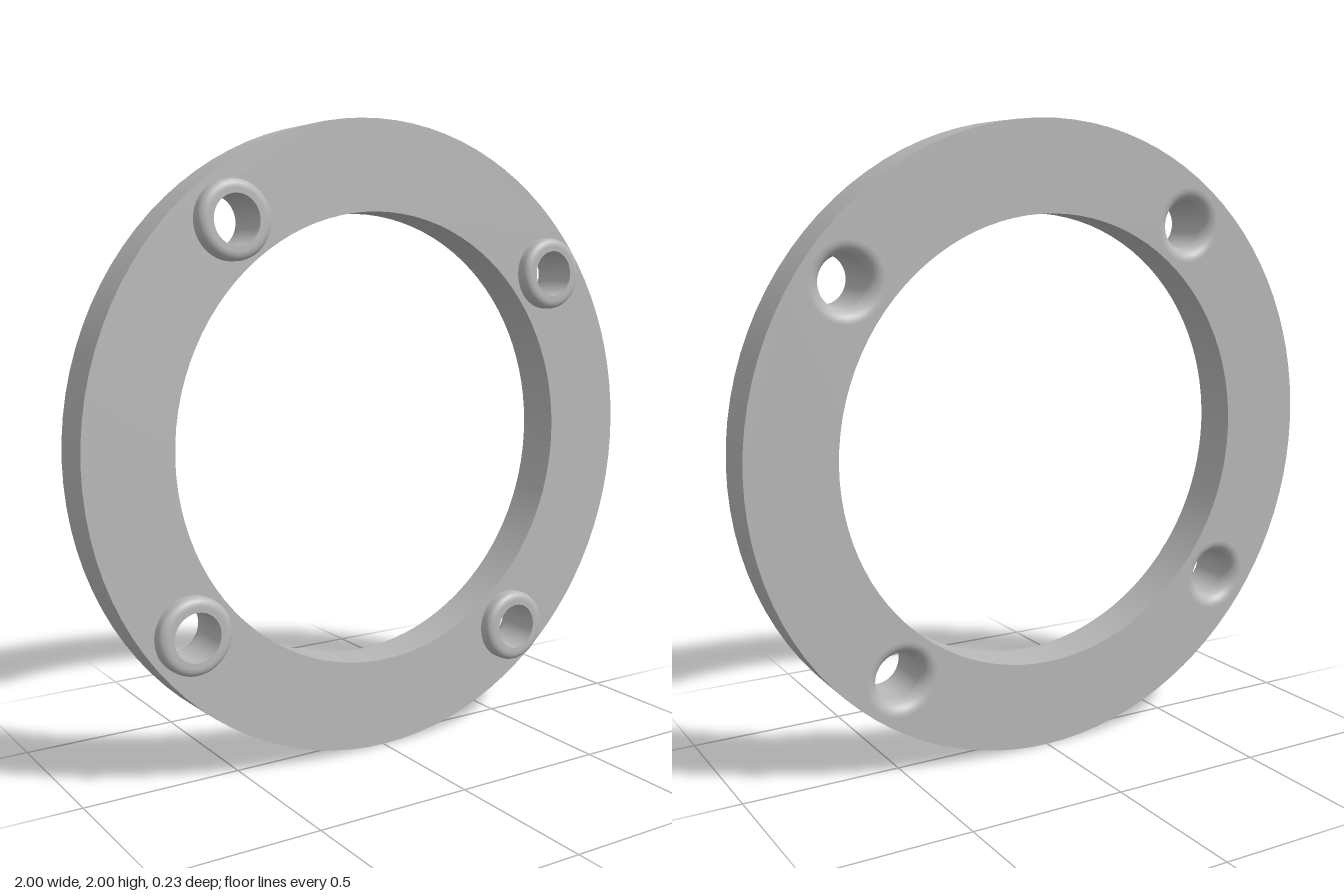
import * as THREE from 'three';
import { mergeGeometries } from 'three/addons/utils/BufferGeometryUtils.js';

const OUTER = 0.998, INNER = 0.715;   // ring radii
const FRONT = 0.05, BACK = -0.095;    // ring faces
const BORE = 0.075, BOSS = 0.118, HEIGHT = 0.045;
const HOLE_X = 0.52, HOLE_Y = 0.68;

// Surface of revolution about z; each section is smooth, with sharp edges between sections
function turned(sections, segments = 96) {
  const parts = sections.map(points =>
    new THREE.LatheGeometry(points.map(([r, z]) => new THREE.Vector2(r, z)), segments));
  return mergeGeometries(parts).rotateX(Math.PI / 2);
}

// Quarter-ellipse of profile points between two angles
function arc(cr, cz, rr, rz, from, to, steps = 8) {
  return Array.from({ length: steps + 1 }, (_, i) => {
    const a = from + (to - from) * i / steps;
    return [cr + rr * Math.cos(a), cz + rz * Math.sin(a)];
  });
}

export function createModel() {
  const model = new THREE.Group();
  const grey = new THREE.MeshStandardMaterial({ color: 0xb8b8b8 });
  grey.name = 'grey';

  const ring = new THREE.Group();
  ring.name = 'flangeRing';
  const add = (name, geometry, parent = ring) => {
    const mesh = new THREE.Mesh(geometry, grey);
    mesh.name = name;
    parent.add(mesh);
    return mesh;
  };

  // Four holes, a quarter turn apart
  const holes = [];
  for (let i = 0, x = -HOLE_X, y = HOLE_Y; i < 4; i++) {
    holes.push([x, y]);
    [x, y] = [y, -x];
  }

  // Flat annular faces, pierced by the centre opening and the four holes
  const faceGeometry = mirror => {
    const shape = new THREE.Shape().absarc(0, 0, OUTER, 0, Math.PI * 2);
    shape.holes.push(new THREE.Path().absarc(0, 0, INNER, 0, Math.PI * 2, true));
    for (const [x, y] of holes) {
      shape.holes.push(new THREE.Path().absarc(x * mirror, y, BOSS, 0, Math.PI * 2, true));
    }
    return new THREE.ShapeGeometry(shape, 48);
  };
  add('frontFace', faceGeometry(1).translate(0, 0, FRONT));
  add('backFace', faceGeometry(-1).rotateY(Math.PI).translate(0, 0, BACK));

  // Rim and opening walls
  add('outerWall', turned([[[OUTER, BACK], [OUTER, FRONT]]]));
  add('innerWall', turned([[[INNER, FRONT], [INNER, BACK]]]));

  // Raised bosses in front, with bores that flare smoothly into the back face
  const top = FRONT + HEIGHT, shoulder = FRONT + 0.024;
  const flare = 0.048;
  const bossGeometry = turned([
    [[BOSS, FRONT], [BOSS, shoulder]],
    arc(0.092, shoulder, BOSS - 0.092, top - shoulder, 0, Math.PI / 2),
    [[0.092, top], [BORE, top]],
    [[BORE, top], ...arc(BOSS, BACK + flare, BOSS - BORE, flare, Math.PI, Math.PI * 1.5, 12)],
  ]);
  holes.forEach(([x, y], i) => {
    add(`mountingBoss${i + 1}`, bossGeometry).position.set(x, y, 0);
  });

  // The ring leans slightly back and to one side
  ring.rotation.set(-0.02, 0.0125, 0);
  ring.position.y = 1;
  model.add(ring);
  return model;
}
